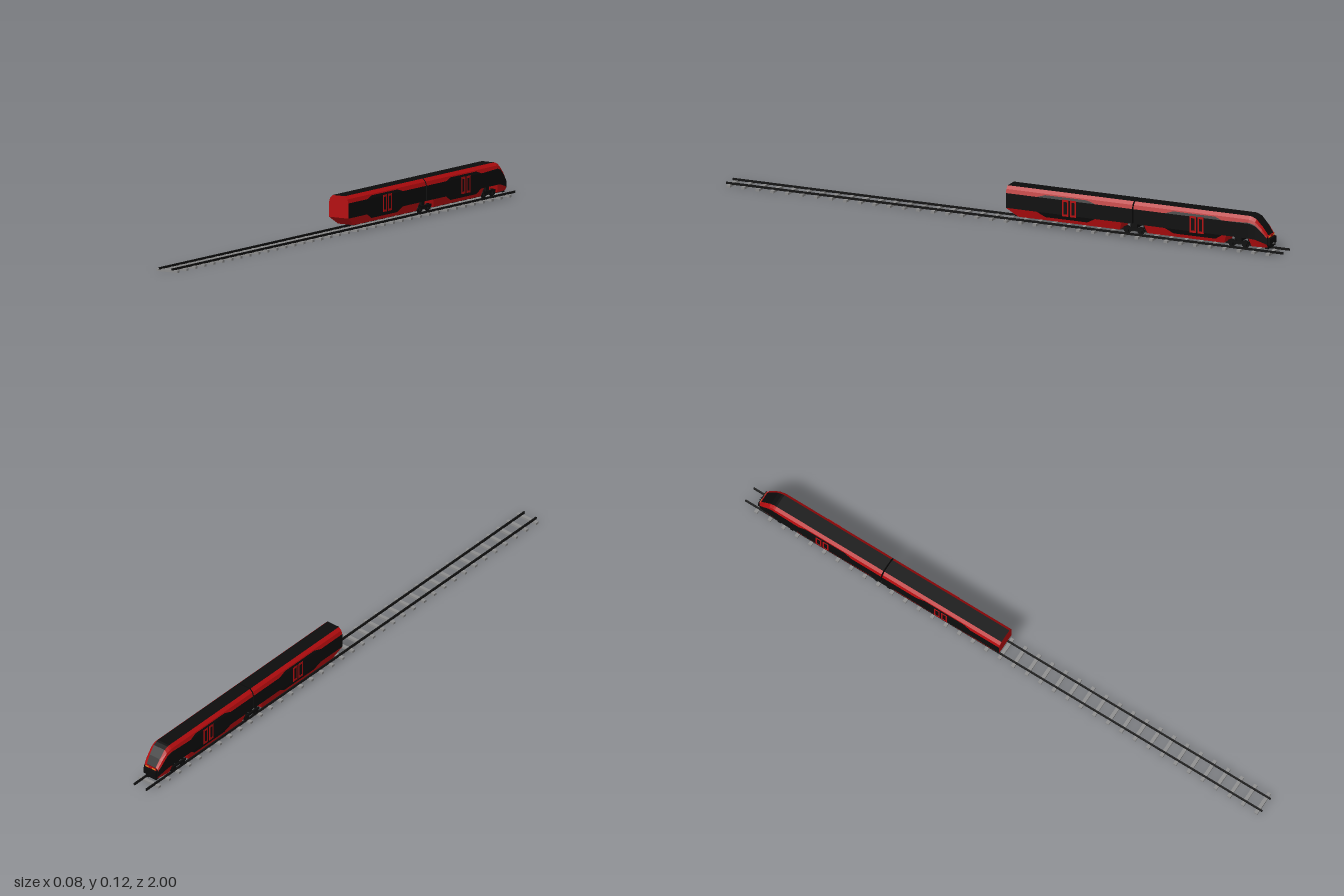
import * as THREE from 'three';

const paint = (color) => new THREE.MeshStandardMaterial({ color, flatShading: true, side: THREE.DoubleSide });
const red = paint(0xb40c0e), black = paint(0x0c0c0c), steel = paint(0x111111);
const grey = paint(0x8c8c8c), amber = paint(0xe08a1a);

const TOP = 0.123, BASE = 0.023;
// Half outline of the car body: height, half width
const OUTLINE = [[0.023, 0.031], [0.05, 0.038], [0.1, 0.038], [0.113, 0.034], [0.123, 0.024]];

function halfWidth(y) {
  for (let i = 1; i < OUTLINE.length; i++) {
    const [y0, x0] = OUTLINE[i - 1], [y1, x1] = OUTLINE[i];
    if (y <= y1) return THREE.MathUtils.lerp(x0, x1, (y - y0) / (y1 - y0));
  }
  return 0.024;
}

// Station: z, underside height, upper and lower edge of the window band, roof height, width factor
const S = (z, bottom, u, l, top = TOP, w = 1) => ({ z, bottom, u, l, top, w });

function pointAt(s, y) {
  const yc = Math.max(y, s.bottom);
  const yy = BASE + (yc - BASE) * (s.top - BASE) / (TOP - BASE);
  return [halfWidth(yc) * s.w, yy, s.z];
}

// Joins equal rows of points into a surface
function loft(rows) {
  const pos = [];
  for (let i = 1; i < rows.length; i++) {
    for (let j = 1; j < rows[i].length; j++) {
      const a = rows[i - 1][j - 1], b = rows[i - 1][j], c = rows[i][j], d = rows[i][j - 1];
      pos.push(...a, ...b, ...c, ...a, ...c, ...d);
    }
  }
  const g = new THREE.BufferGeometry();
  g.setAttribute('position', new THREE.Float32BufferAttribute(pos, 3));
  g.computeVertexNormals();
  return g;
}

function add(parent, name, geometry, material, x = 0, y = 0, z = 0) {
  const m = new THREE.Mesh(geometry, material);
  m.name = name;
  m.position.set(x, y, z);
  parent.add(m);
  return m;
}
const box = (w, h, d) => new THREE.BoxGeometry(w, h, d);

const STRIPS = [
  ['roofEdge', red, (s) => [TOP, 0.113, s.u]],
  ['windowBand', black, (s) => [s.u, 0.1, 0.05, s.l]],
  ['lowerSkirt', red, (s) => [s.l, BASE]],
];

function makeCar(name, stations, capMaterials) {
  const car = new THREE.Group();
  car.name = name;
  const across = (y) => loft(stations.map((s) => {
    const p = pointAt(s, y);
    return [p, [-p[0], p[1], p[2]]];
  }));
  add(car, 'roof', across(TOP), black);
  add(car, 'underside', across(BASE), red);
  for (const side of [1, -1]) {
    for (const [label, mat, ys] of STRIPS) {
      const rows = stations.map((s) => ys(s).map((y) => {
        const p = pointAt(s, y);
        return [p[0] * side, p[1], p[2]];
      }));
      if (side < 0) rows.reverse();
      add(car, label, loft(rows), mat);
    }
  }
  // Flat end walls
  [stations[0], stations[stations.length - 1]].forEach((s, i) => {
    const half = OUTLINE.map(([y]) => pointAt(s, y));
    const pts = half.map((p) => new THREE.Vector2(p[0], p[1]));
    pts.push(...half.reverse().map((p) => new THREE.Vector2(-p[0], p[1])));
    add(car, 'endWall', new THREE.ShapeGeometry(new THREE.Shape(pts)), capMaterials[i], 0, 0, s.z);
  });
  return car;
}

// Double door: two red frames on each side
function addDoors(parent, z) {
  const w = 0.011, h = 0.028;
  const rect = (P, a, b) => new P([[-a, -b], [a, -b], [a, b], [-a, b]].map((p) => new THREE.Vector2(...p)));
  const frame = rect(THREE.Shape, w, h);
  frame.holes.push(rect(THREE.Path, w - 0.005, h - 0.007));
  const g = new THREE.ExtrudeGeometry(frame, { depth: 0.001, bevelEnabled: false });
  for (const side of [1, -1]) {
    for (const dz of [-0.014, 0.014]) {
      add(parent, 'doorFrame', g, red, side * 0.0378, 0.074, z + dz).rotation.y = side * Math.PI / 2;
    }
  }
}

function makeBogie(z) {
  const bogie = new THREE.Group();
  bogie.name = 'bogie';
  bogie.position.z = z;
  add(bogie, 'bolster', box(0.05, 0.02, 0.018), black, 0, 0.042, 0);
  const wheel = new THREE.CylinderGeometry(0.013, 0.013, 0.005, 16).rotateZ(Math.PI / 2);
  const axle = new THREE.CylinderGeometry(0.003, 0.003, 0.06, 8).rotateZ(Math.PI / 2);
  for (const dz of [-0.024, 0.024]) {
    add(bogie, 'axle', axle, black, 0, 0.026, dz);
    for (const side of [1, -1]) {
      add(bogie, 'wheel', wheel, black, side * 0.025, 0.026, dz);
      add(bogie, 'axleBox', box(0.006, 0.012, 0.012), black, side * 0.031, 0.026, dz);
    }
  }
  for (const side of [1, -1]) add(bogie, 'sideFrame', box(0.005, 0.008, 0.07), black, side * 0.031, 0.032, 0);
  return bogie;
}

export function createModel() {
  const model = new THREE.Group();
  model.name = 'trainOnTrack';

  // Track
  const track = new THREE.Group();
  track.name = 'track';
  for (const x of [-0.025, 0.025]) {
    add(track, 'railHead', box(0.005, 0.003, 2), steel, x, 0.0125, 0);
    add(track, 'railWeb', box(0.002, 0.004, 2), steel, x, 0.0095, 0);
    add(track, 'railFoot', box(0.006, 0.001, 2), steel, x, 0.0078, 0);
  }
  const sleeper = box(0.084, 0.008, 0.012);
  for (let i = 0; i < 38; i++) add(track, 'sleeper', sleeper, grey, 0, 0.004, 0.985 - i * 0.0523);
  model.add(track);

  // Rear car with a raked underside at its flat end
  const rearCar = makeCar('rearCar', [
    S(-0.01, 0.05, 0.1, 0.05), S(-0.045, 0.027, 0.1, 0.05), S(-0.05, BASE, 0.1, 0.05),
    S(-0.12, BASE, 0.1, 0.05), S(-0.15, BASE, 0.109, 0.034), S(-0.3, BASE, 0.109, 0.034),
    S(-0.33, BASE, 0.1, 0.05), S(-0.415, BASE, 0.1, 0.05), S(-0.425, 0.05, 0.1, 0.05),
    S(-0.4625, 0.05, 0.1, 0.05),
  ], [red, black]);
  addDoors(rearCar, -0.237);
  model.add(rearCar);

  // Cab car with the sloping nose
  const cabCar = makeCar('cabCar', [
    S(-0.4675, 0.05, 0.1, 0.05), S(-0.505, 0.05, 0.1, 0.05), S(-0.515, BASE, 0.1, 0.05),
    S(-0.58, BASE, 0.1, 0.05), S(-0.61, BASE, 0.109, 0.034), S(-0.76, BASE, 0.109, 0.034),
    S(-0.785, BASE, 0.1, 0.05), S(-0.79, BASE, 0.1, 0.05), S(-0.8, 0.05, 0.1, 0.05),
    S(-0.88, 0.05, 0.103, 0.05, 0.123, 1), S(-0.888, BASE, 0.103, 0.05, 0.121, 0.98),
    S(-0.902, BASE, 0.103, 0.05, 0.115, 0.95), S(-0.925, BASE, 0.1, 0.05, 0.09, 0.88),
    S(-0.943, BASE, 0.1, 0.05, 0.064, 0.78),
  ], [black, black]);
  addDoors(cabCar, -0.695);

  // Nose fittings
  add(cabCar, 'noseBand', box(0.046, 0.008, 0.005), red, 0, 0.059, -0.944);
  add(cabCar, 'bumper', box(0.05, 0.022, 0.014), black, 0, 0.042, -0.945);
  add(cabCar, 'nosePlough', box(0.044, 0.016, 0.012), black, 0, 0.025, -0.938);
  const coupler = new THREE.CylinderGeometry(0.005, 0.005, 0.02, 10).rotateX(Math.PI / 2);
  add(cabCar, 'coupler', coupler, black, 0, 0.032, -0.948);
  for (const side of [1, -1]) {
    add(cabCar, 'headlight', box(0.012, 0.004, 0.004), amber, side * 0.014, 0.059, -0.9455);
  }
  model.add(cabCar);

  for (const z of [-0.465, -0.84]) model.add(makeBogie(z));
  return model;
}
